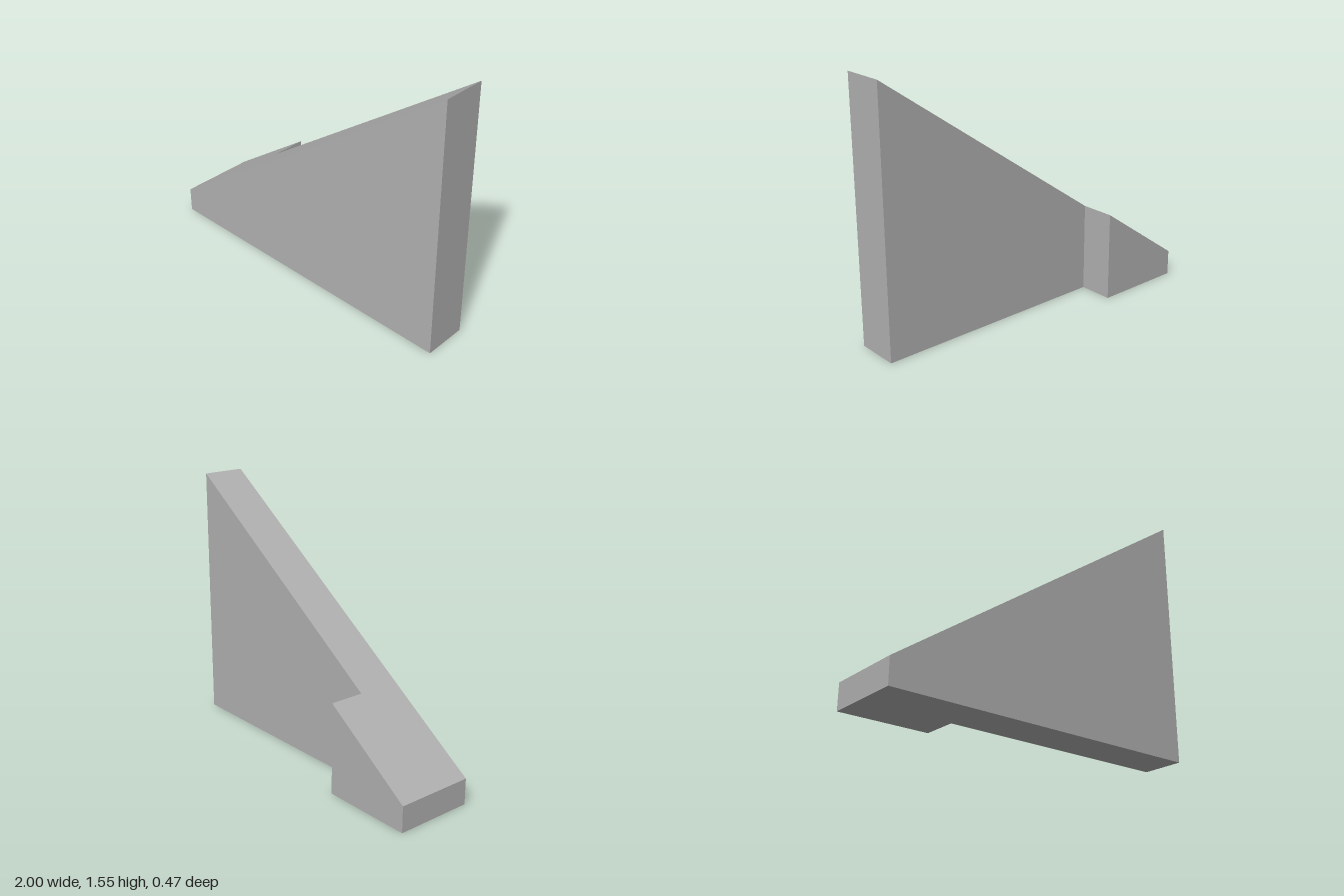
import * as THREE from 'three';

export function createModel() {
  const group = new THREE.Group();
  group.name = 'wedgeRamp';
  const grey = new THREE.MeshStandardMaterial({ color: 0xb0b0b0 });
  grey.name = 'plain grey';

  // L-shaped footprint: long wall plus a wider foot at the low end (shape y is -z)
  const front = -0.237, step = 0.026, back = 0.237, footEnd = -0.447;
  const footprint = new THREE.Shape([
    [-1, front], [1, front], [1, step], [footEnd, step], [footEnd, back], [-1, back],
  ].map(([x, y]) => new THREE.Vector2(x, y)));

  const geometry = new THREE.ExtrudeGeometry(footprint, { depth: 1, bevelEnabled: false });
  geometry.rotateX(-Math.PI / 2);

  // Slope the top evenly from the low end to the tall end
  const low = 0.155, high = 1.555;
  const pos = geometry.attributes.position;
  for (let i = 0; i < pos.count; i++) {
    const top = low + (high - low) * (pos.getX(i) + 1) / 2;
    pos.setY(i, pos.getY(i) > 0.5 ? top : 0);
  }
  geometry.computeVertexNormals();

  const wedge = new THREE.Mesh(geometry, grey);
  wedge.name = 'slopedWallWithFoot';
  group.add(wedge);
  return group;
}
